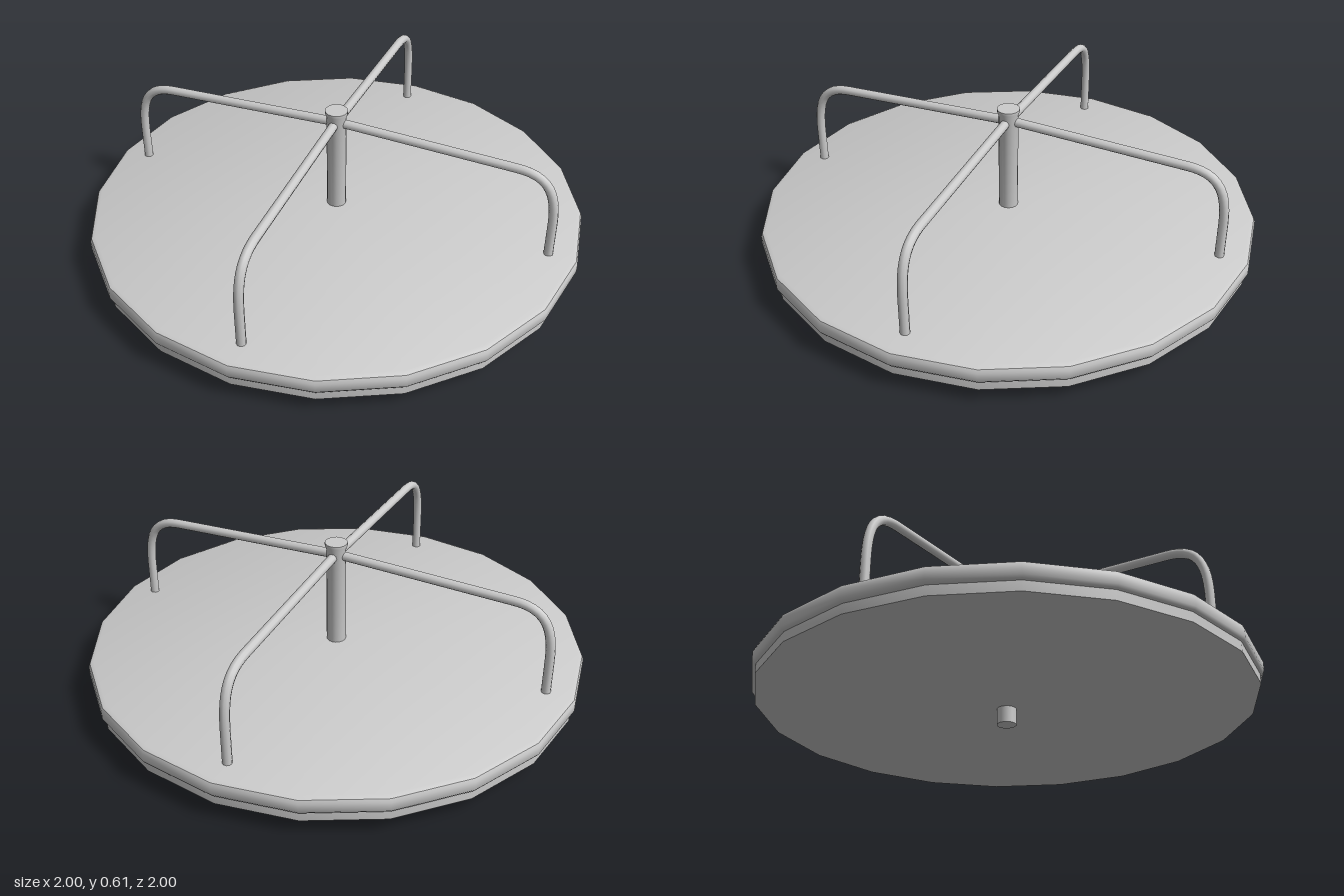
import * as THREE from 'three';
import { toCreasedNormals } from 'three/addons/utils/BufferGeometryUtils.js';

const material = new THREE.MeshStandardMaterial({ color: 0xcccccc });

// Turned solid from [radius, height] pairs, listed from the bottom up
function turned(name, profile, sides) {
  const points = profile.map(([r, y]) => new THREE.Vector2(r, y));
  const geometry = toCreasedNormals(new THREE.LatheGeometry(points, sides), 0.75);
  const mesh = new THREE.Mesh(geometry, material);
  mesh.name = name;
  return mesh;
}

// One handrail: rises from the deck, bends inward and runs to the post
function handrail() {
  const v = (x, y) => new THREE.Vector3(x, y, 0);
  const path = new THREE.CurvePath();
  path.add(new THREE.LineCurve3(v(0.883, 0.15), v(0.883, 0.31)));
  path.add(new THREE.CubicBezierCurve3(v(0.883, 0.31), v(0.883, 0.45), v(0.855, 0.528), v(0.73, 0.534)));
  path.add(new THREE.LineCurve3(v(0.73, 0.534), v(0, 0.561)));
  return new THREE.TubeGeometry(path, 48, 0.0185, 10);
}

export function createModel() {
  const model = new THREE.Group();
  model.name = 'merryGoRound';

  // Twenty-sided platform with a rounded lip over a recessed skirt
  model.add(turned('platform', [
    [0, 0.066], [0.984, 0.066], [0.984, 0.105], [0.993, 0.108], [1, 0.118],
    [1, 0.152], [0.994, 0.166], [0.978, 0.173], [0, 0.173],
  ], 20));

  // Centre post with a slightly flared cap
  model.add(turned('centrePost', [
    [0, 0], [0.039, 0], [0.039, 0.585], [0.045, 0.602], [0.045, 0.614], [0, 0.614],
  ], 16));

  // Four handrails around the post
  const railGeometry = handrail();
  for (let i = 0; i < 4; i++) {
    const rail = new THREE.Mesh(railGeometry, material);
    rail.name = `handrail${i + 1}`;
    rail.rotation.y = (i * Math.PI) / 2;
    model.add(rail);
  }
  return model;
}
